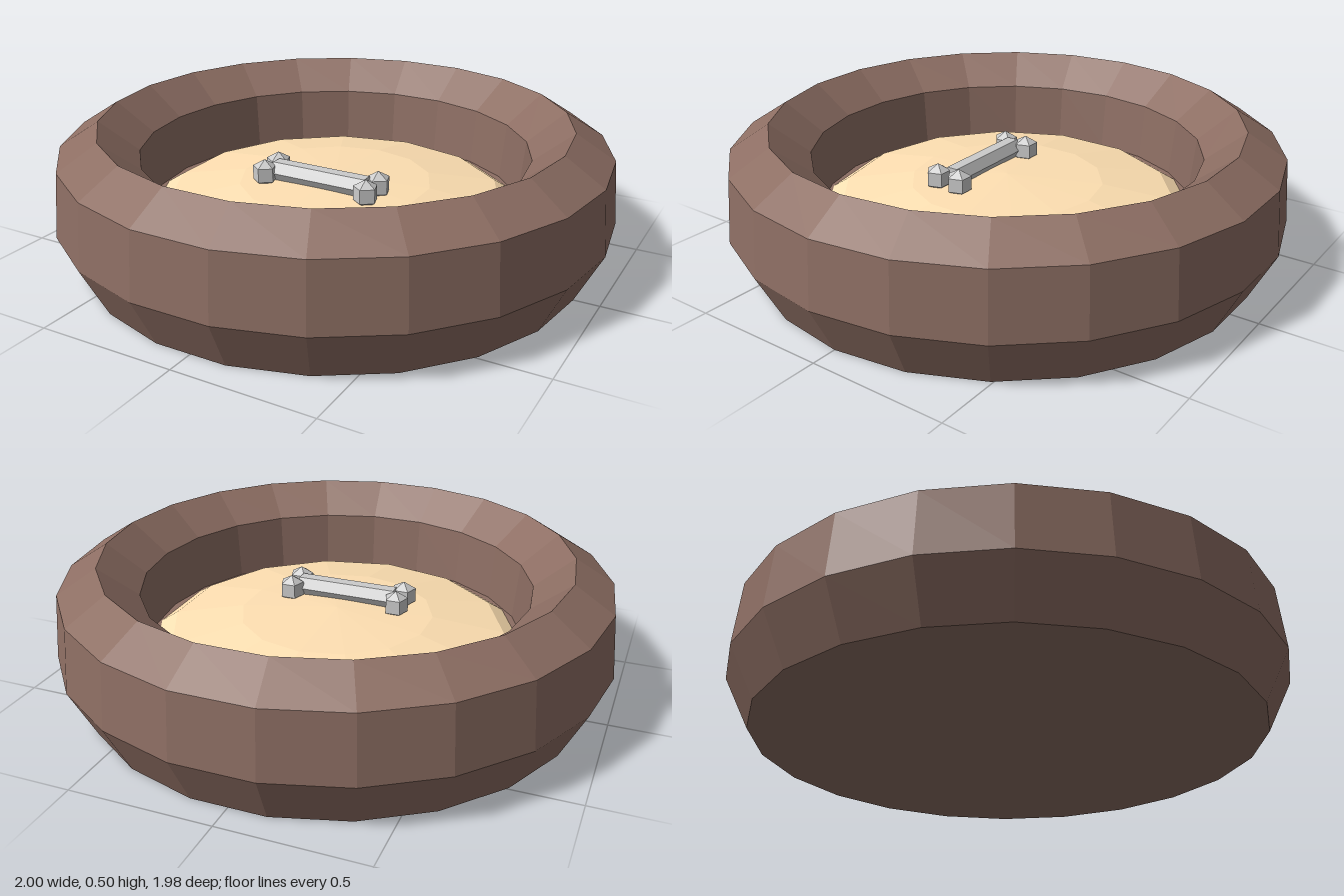
import * as THREE from 'three';

const material = (color) => new THREE.MeshStandardMaterial({ color, flatShading: true });

function addMesh(parent, name, geometry, mat) {
  const mesh = new THREE.Mesh(geometry, mat);
  mesh.name = name;
  parent.add(mesh);
  return mesh;
}

const lathe = (points, sides, start) =>
  new THREE.LatheGeometry(points.map(([r, y]) => new THREE.Vector2(r, y)), sides, start);

export function createModel() {
  const model = new THREE.Group();
  model.name = 'petBed';

  // Padded rim with a closed underside and an inner floor
  const rim = [[0, 0], [0.91, 0], [1, 0.18], [0.98, 0.41], [0.84, 0.5], [0.7, 0.39], [0.68, 0.18], [0, 0.18]];
  addMesh(model, 'bedRim', lathe(rim, 22, Math.PI / 2), material(0x8d6e63));

  // Gently domed cushion, its edge tucked into the floor
  const dome = [90, 60, 30, 0].map((deg) => {
    const a = THREE.MathUtils.degToRad(deg);
    return [0.7 * Math.sin(a), 0.16 + 0.12 * Math.cos(a)];
  });
  addMesh(model, 'cushion', lathe(dome, 14, 0), material(0xffe0b2));

  // Toy bone: hexagonal shaft with two knobs at each end
  const bone = new THREE.Group();
  bone.name = 'toyBone';
  bone.position.set(0, 0.3, 0.108);
  model.add(bone);
  const grey = material(0xcccccc);

  const shaft = addMesh(bone, 'boneShaft', new THREE.CylinderGeometry(0.042, 0.042, 0.37, 6), grey);
  shaft.rotation.z = Math.PI / 2;

  const knobGeometry = new THREE.SphereGeometry(0.051, 5, 3);
  knobGeometry.rotateY(Math.PI / 2);
  for (const x of [-0.205, 0.205]) {
    for (const z of [-0.047, 0.047]) {
      addMesh(bone, 'boneKnob', knobGeometry, grey).position.set(x, 0, z);
    }
  }

  return model;
}
